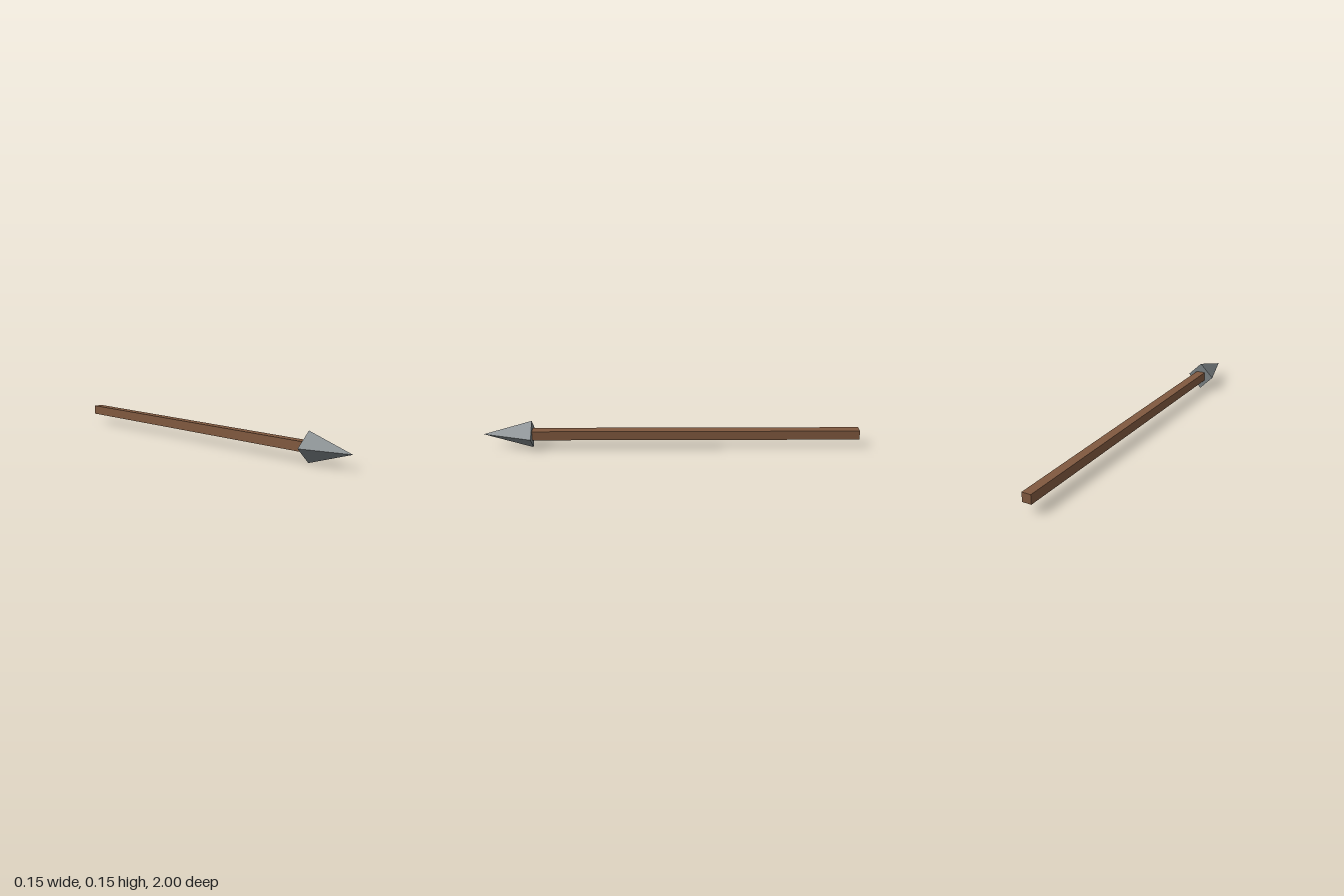
import * as THREE from 'three';

export function createModel() {
  const wood = new THREE.MeshStandardMaterial({ color: 0x80593f });
  wood.name = 'brown wood';
  const metal = new THREE.MeshStandardMaterial({ color: 0x787f82 });
  metal.name = 'grey metal';
  metal.flatShading = true;

  const radius = 0.077; // half diagonal of the head
  const baseZ = 0.74;   // where shaft and head meet
  const group = new THREE.Group();
  group.name = 'arrow';

  // Square shaft running back from the head
  const shaft = new THREE.Mesh(new THREE.BoxGeometry(0.05, 0.05, baseZ + 1), wood);
  shaft.name = 'shaft';
  shaft.position.set(0, radius, (baseZ - 1) / 2);

  // Four-sided pointed head, corners on the x and y axes
  const headLength = 1 - baseZ;
  const headGeometry = new THREE.ConeGeometry(radius, headLength, 4);
  headGeometry.rotateX(Math.PI / 2);
  const head = new THREE.Mesh(headGeometry, metal);
  head.name = 'head';
  head.position.set(0, radius, baseZ + headLength / 2);

  group.add(shaft, head);
  return group;
}
